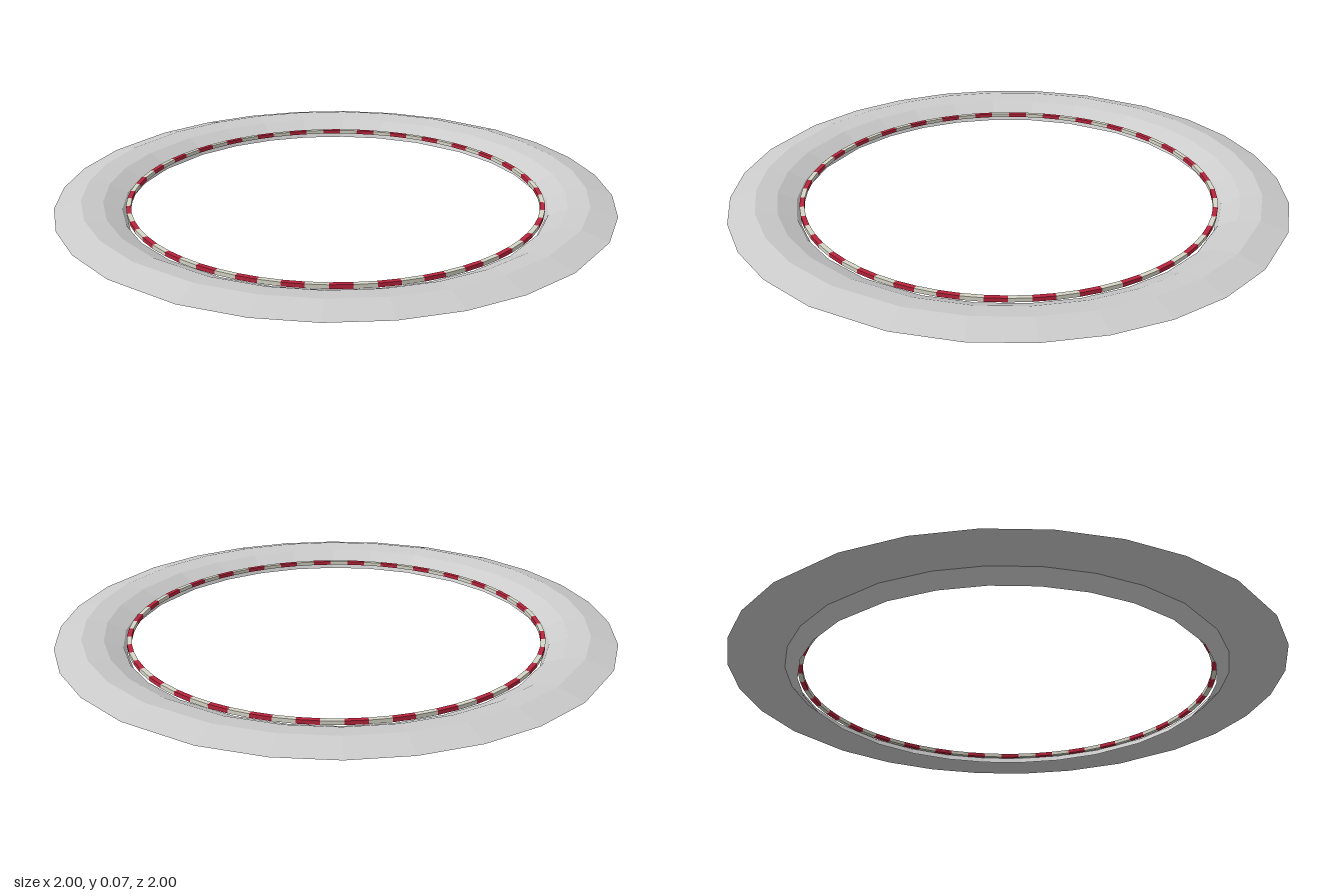
import * as THREE from 'three';
import { mergeGeometries } from 'three/addons/utils/BufferGeometryUtils.js';

const profile = (pts) => pts.map(([r, y]) => new THREE.Vector2(r, y));

export function createModel() {
  const model = new THREE.Group();

  // Faceted dish-shaped rim; its facets are unevenly spaced within each quarter
  const section = profile([
    [0.752, 0], [0.8, 0.04], [1, 0.04], [0.905, 0.066],
    [0.83, 0.055], [0.765, 0.024], [0.752, 0],
  ]);
  const steps = [0, 12, 24, 37, 53, 66, 78];
  const sides = steps.length * 4;
  const rimGeometry = new THREE.LatheGeometry(section, sides);
  const pos = rimGeometry.attributes.position;
  for (let v = 0; v < pos.count; v++) {
    const i = Math.floor(v / section.length) % sides;
    const angle = THREE.MathUtils.degToRad(Math.floor(i / steps.length) * 90 + steps[i % steps.length]);
    const r = section[v % section.length].x;
    pos.setXYZ(v, Math.sin(angle) * r, pos.getY(v), Math.cos(angle) * r);
  }
  rimGeometry.computeVertexNormals();
  const rim = new THREE.Mesh(rimGeometry, new THREE.MeshStandardMaterial({ color: 0xcccccc, flatShading: true }));
  rim.name = 'rim';
  model.add(rim);

  // Thin inner band of alternating stripes
  const bandSection = profile([
    [0.735, 0.02], [0.752, 0.02], [0.752, 0.034], [0.735, 0.034], [0.735, 0.02],
  ]);
  const stripes = 64;
  const step = (Math.PI * 2) / stripes;
  const addStripes = (name, first, color) => {
    const parts = [];
    for (let i = first; i < stripes; i += 2) {
      parts.push(new THREE.LatheGeometry(bandSection, 1, i * step, step));
    }
    const mesh = new THREE.Mesh(mergeGeometries(parts), new THREE.MeshStandardMaterial({ color, flatShading: true }));
    mesh.name = name;
    model.add(mesh);
  };
  addStripes('redStripes', 0, 0xb8243c);
  addStripes('paleStripes', 1, 0xd4d4c6);

  return model;
}
